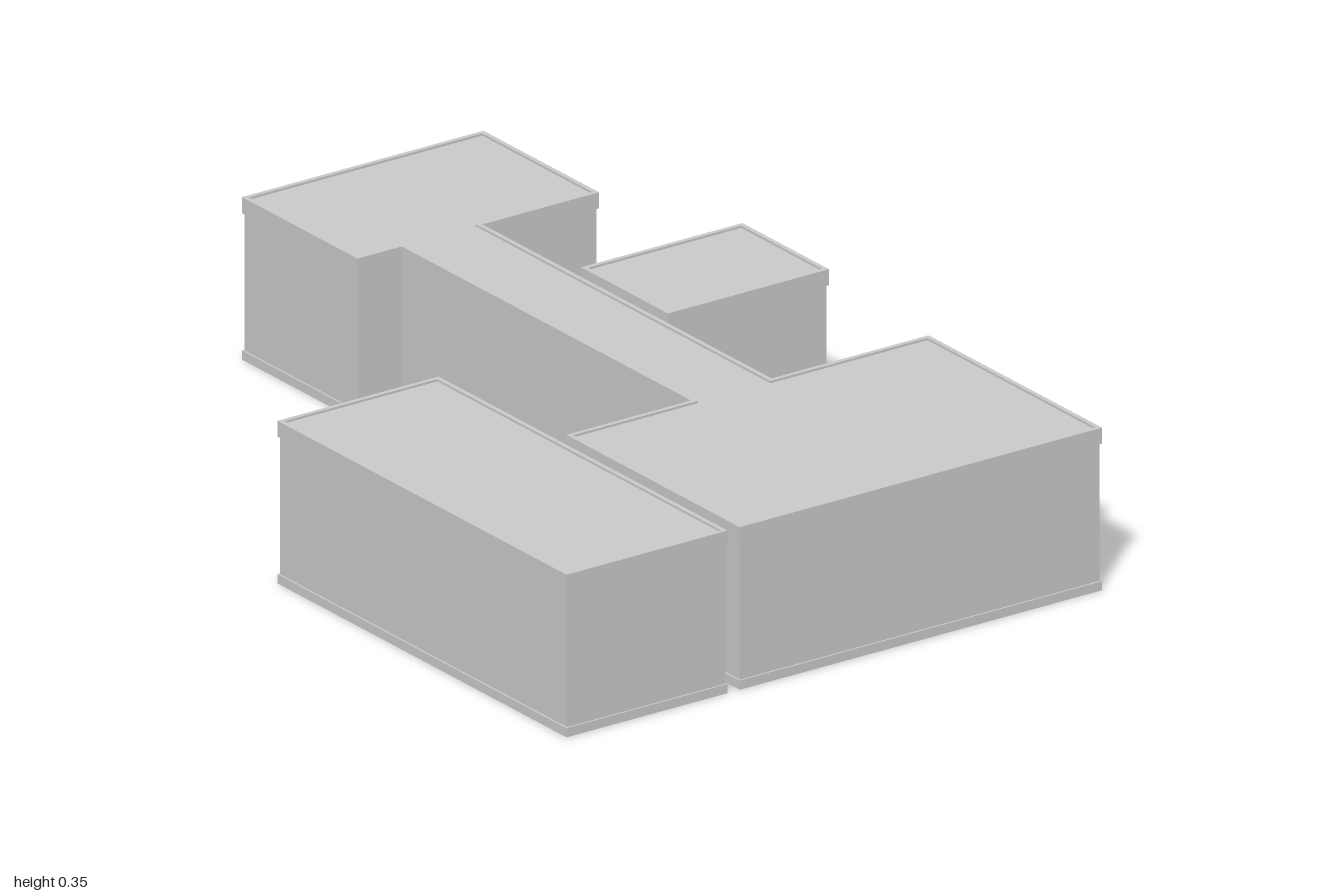
import * as THREE from 'three';

const HEIGHT = 0.355, BASE = 0.02, BAND = 0.32, ROOF = 0.35, INSET = 0.004, PARAPET = 0.01;
const material = new THREE.MeshStandardMaterial({ color: 0xcccccc, flatShading: true });

// Counter-clockwise plan of a rectangle; plan points are (x, -z)
const rect = (x0, x1, z0, z1) => [[x0, -z1], [x1, -z1], [x1, -z0], [x0, -z0]];

// Moves every edge of a right-angled plan inwards by d
function inset(plan, d) {
  const n = plan.length;
  return plan.map((p, i) => {
    const a = plan[(i + n - 1) % n], b = plan[(i + 1) % n];
    const inX = -Math.sign(p[1] - a[1]) - Math.sign(b[1] - p[1]);
    const inY = Math.sign(p[0] - a[0]) + Math.sign(b[0] - p[0]);
    return [p[0] + inX * d, p[1] + inY * d];
  });
}

const toPoints = (plan) => plan.map(([x, y]) => new THREE.Vector2(x, y));

// Upright prism over a plan, optionally with a hole
function prism(name, plan, y0, y1, hole) {
  const shape = new THREE.Shape(toPoints(plan));
  if (hole) shape.holes.push(new THREE.Path(toPoints(hole)));
  const geometry = new THREE.ExtrudeGeometry(shape, { depth: y1 - y0, bevelEnabled: false });
  geometry.rotateX(-Math.PI / 2).translate(0, y0, 0);
  const mesh = new THREE.Mesh(geometry, material);
  mesh.name = name;
  return mesh;
}

// Building wing: plinth, walls set slightly back, and a roof band with a low lip
function wing(name, plan) {
  const group = new THREE.Group();
  group.name = name;
  group.add(
    prism('plinth', plan, 0, BASE),
    prism('walls', inset(plan, INSET), BASE, ROOF),
    prism('roofBand', plan, BAND, HEIGHT, inset(plan, PARAPET)),
  );
  return group;
}

export function createModel() {
  const model = new THREE.Group();
  model.name = 'building';

  // Two end blocks joined by a narrow corridor
  const mainPlan = [
    [-1, -0.08], [-0.6, -0.08], [-0.6, 0.03], [0.4, 0.03], [0.4, -0.28], [1, -0.28],
    [1, 0.62], [0.4, 0.62], [0.4, 0.23], [-0.6, 0.23], [-0.6, 0.52], [-1, 0.52],
  ];
  model.add(
    wing('mainBuilding', mainPlan),
    wing('frontBlock', rect(0, 1, 0.31, 0.71)),
    wing('rearBlock', rect(-0.3, 0, -0.66, -0.26)),
  );

  // Lower links between the blocks and the rear porch
  const links = [
    ['frontLink', 0.7, 0.9, 0.27, 0.32],
    ['rearLink', -0.2, -0.005, -0.27, -0.22],
    ['rearPorch', 0.6, 0.8, -0.715, -0.61],
  ];
  for (const [name, ...sides] of links) model.add(prism(name, rect(...sides), 0.015, 0.257));

  return model;
}
